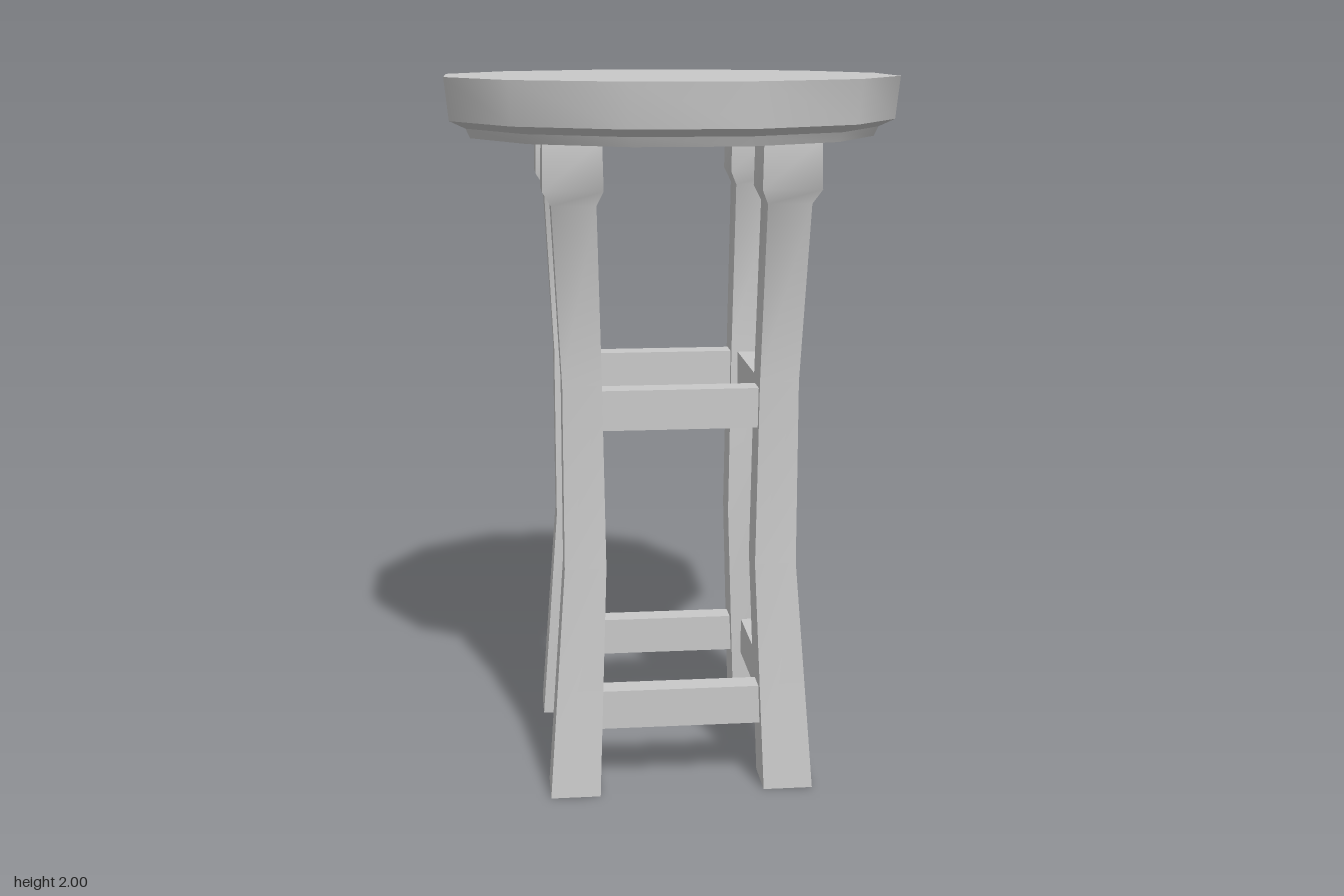
import * as THREE from 'three';
import { toCreasedNormals } from 'three/addons/utils/BufferGeometryUtils.js';

const CREASE = 0.62;

// Leg levels: y, centre x, half width (z centre sits slightly further out)
const LEG = [
  [0, 0.304, 0.07],
  [0.66, 0.267, 0.058],
  [1.18, 0.271, 0.054],
  [1.67, 0.289, 0.06],
  [1.71, 0.292, 0.081],
  [1.84, 0.292, 0.078],
];
const Z_OFFSET = 0.012;

// Square leg that bows inward and ends in a flared block
function legGeometry(sx, sz) {
  const n = LEG.length - 1;
  const geo = new THREE.BoxGeometry(1, 1, 1, 1, n, 1);
  const p = geo.attributes.position;
  for (let i = 0; i < p.count; i++) {
    const [y, c, h] = LEG[Math.round((p.getY(i) + 0.5) * n)];
    p.setXYZ(i,
      sx * c + Math.sign(p.getX(i)) * h,
      y,
      sz * (c + Z_OFFSET) + Math.sign(p.getZ(i)) * h);
  }
  return toCreasedNormals(geo, CREASE);
}

// Twelve-sided seat; profile given as flat-to-centre distance and height
function seatGeometry() {
  const profile = [
    [0, 1.836], [0.558, 1.836], [0.57, 1.862], [0.614, 1.883], [0.626, 2], [0, 2],
  ].map(([a, y]) => new THREE.Vector2(a / Math.cos(Math.PI / 12), y));
  return toCreasedNormals(new THREE.LatheGeometry(profile, 12, Math.PI / 12), CREASE);
}

export function createModel() {
  const group = new THREE.Group();
  const gray = new THREE.MeshStandardMaterial({ color: 0xc8c8c8 });
  gray.name = 'plain gray';

  const add = (name, geo, x = 0, y = 0, z = 0) => {
    const mesh = new THREE.Mesh(geo, gray);
    mesh.name = name;
    mesh.position.set(x, y, z);
    group.add(mesh);
  };

  add('seat', seatGeometry());

  for (const sx of [1, -1]) {
    for (const sz of [1, -1]) {
      add((sz > 0 ? 'front' : 'back') + (sx > 0 ? 'Left' : 'Right') + 'Leg', legGeometry(sx, sz));
    }
  }

  // Two rings of rails: height, centre distance, half span
  const T = 0.07, H = 0.112;
  for (const [ring, y, c, half] of [['lower', 0.24, 0.29, 0.24], ['upper', 1.105, 0.271, 0.225]]) {
    for (const s of [1, -1]) {
      add(ring + (s > 0 ? 'Front' : 'Back') + 'Rail',
        new THREE.BoxGeometry(half * 2, H, T), 0, y, s * (c + Z_OFFSET));
      add(ring + (s > 0 ? 'Left' : 'Right') + 'Rail',
        new THREE.BoxGeometry(T, H, (half + Z_OFFSET) * 2), s * c, y, 0);
    }
  }
  return group;
}
